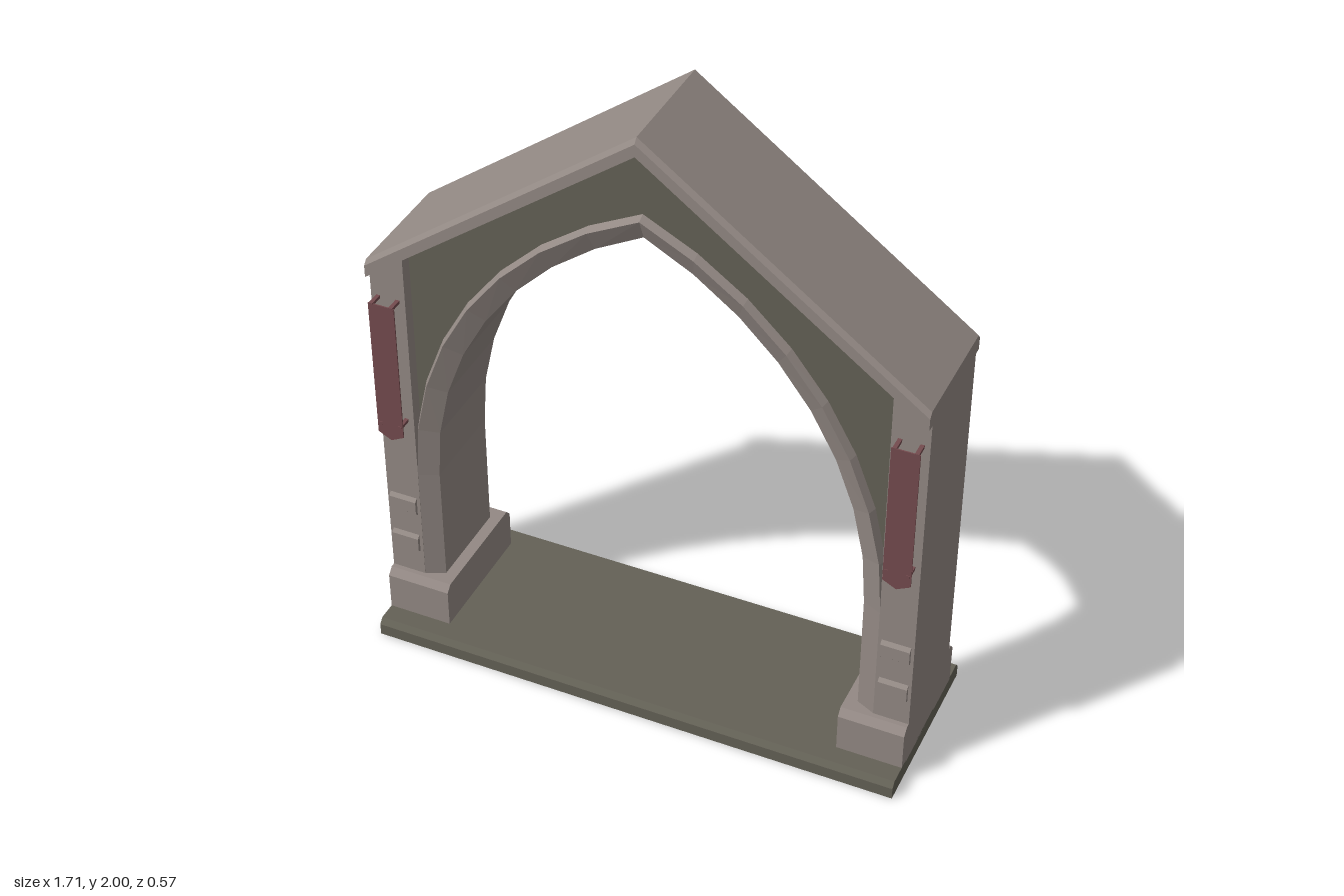
import * as THREE from 'three';

const stone = new THREE.MeshStandardMaterial({ color: 0x938984 });
stone.name = 'warm grey stone';
const darkStone = new THREE.MeshStandardMaterial({ color: 0x646156 });
darkStone.name = 'dark olive stone';
const cloth = new THREE.MeshStandardMaterial({ color: 0x744b4e });
cloth.name = 'dull red cloth';

const HALF = 0.855;          // half width
const SPRING = 0.6;          // height where the arch begins
const CX = 0.478;            // arc centre offset
const R = 1.163;             // inner arc radius
const roofUnder = (x) => 1.945 - 0.737 * Math.abs(x);

// Joins equal convex cross-sections into a capped, flat-faced solid.
function sweep(sections) {
  const n = sections[0].length, pos = [];
  const tri = (a, b, c) => pos.push(...a, ...b, ...c);
  for (let i = 0; i < sections.length - 1; i++) {
    const a = sections[i], b = sections[i + 1];
    for (let j = 0; j < n; j++) {
      const k = (j + 1) % n;
      tri(a[j], a[k], b[k]);
      tri(a[j], b[k], b[j]);
    }
  }
  const first = sections[0], last = sections[sections.length - 1];
  for (let j = 1; j < n - 1; j++) {
    tri(first[0], first[j + 1], first[j]);
    tri(last[0], last[j], last[j + 1]);
  }
  // turn the faces outward if the solid came out inside out
  let volume = 0;
  const a = new THREE.Vector3(), b = new THREE.Vector3(), c = new THREE.Vector3();
  for (let i = 0; i < pos.length; i += 9) {
    volume += a.fromArray(pos, i).dot(b.fromArray(pos, i + 3).cross(c.fromArray(pos, i + 6)));
  }
  if (volume < 0) {
    for (let i = 0; i < pos.length; i += 9) {
      for (let k = 0; k < 3; k++) [pos[i + 3 + k], pos[i + 6 + k]] = [pos[i + 6 + k], pos[i + 3 + k]];
    }
  }
  const g = new THREE.BufferGeometry();
  g.setAttribute('position', new THREE.Float32BufferAttribute(pos, 3));
  g.computeVertexNormals();
  return g;
}

// Block along x with chamfered long edges on top, and below if wanted.
function chamferBlock(x0, x1, y0, y1, z, cy, cz, below) {
  const half = below ? [[y0, z - cz], [y0 + cy, z]] : [[y0, z]];
  half.push([y1 - cy, z], [y1, z - cz]);
  const ring = [...half, ...half.map(([y, w]) => [y, -w]).reverse()];
  return sweep([x0, x1].map((x) => ring.map(([y, w]) => [x, y, w])));
}

// Point on the right half of an arc of radius r, t from spring (0) to apex (1).
function arcPoint(r, t) {
  const angle = t * Math.acos(CX / r);
  return [r * Math.cos(angle) - CX, SPRING + r * Math.sin(angle)];
}

export function createModel() {
  const model = new THREE.Group();
  const add = (name, geometry, material, parent = model) => {
    const mesh = new THREE.Mesh(geometry, material);
    mesh.name = name;
    parent.add(mesh);
    return mesh;
  };

  // Floor slab
  add('floorSlab', chamferBlock(-HALF, HALF, 0, 0.057, 0.285, 0.018, 0.015, false), darkStone);

  // Arch and its jambs: chamfered face with a narrow outer lip
  const STEPS = 8;
  const archSection = (t, y) => {
    const edge = [[R + 0.073, 0.15], [R + 0.06, 0.175], [R, 0.147]];
    const half = edge.map(([r, z]) => {
      const p = arcPoint(r, t);
      return [p[0], y ?? p[1], z];
    });
    return [...half, ...half.map(([x, py, z]) => [x, py, -z]).reverse()];
  };
  const right = [archSection(0, 0.05)];
  for (let i = 0; i <= STEPS; i++) right.push(archSection(i / STEPS));
  const left = right.slice(0, -1).reverse().map((s) => s.map(([x, y, z]) => [-x, y, z]));
  add('archRing', sweep([...right, ...left]), stone);

  // Recessed panel between arch and roof
  const arc = [];
  for (let i = 0; i <= STEPS; i++) arc.push(arcPoint(R + 0.03, i / STEPS));
  const outline = [
    [0, 1.96], [-0.76, roofUnder(0.76) + 0.015], [-0.76, SPRING],
    ...arc.map(([x, y]) => [-x, y]), ...arc.slice(0, -1).reverse(),
    [0.76, SPRING], [0.76, roofUnder(0.76) + 0.015],
  ];
  const panelShape = new THREE.Shape(outline.map(([x, y]) => new THREE.Vector2(x, y)));
  const panel = new THREE.ExtrudeGeometry(panelShape, { depth: 0.304, bevelEnabled: false });
  add('recessedPanel', panel.translate(0, 0, -0.152), darkStone);

  // Roof with chamfered upper edges
  const roofRing = [[0, 0.187], [-0.016, 0.2], [-0.055, 0.2], [-0.055, -0.2], [-0.016, -0.2], [0, -0.187]];
  add('gableRoof', sweep([-HALF, 0, HALF].map((x) =>
    roofRing.map(([dy, z]) => [x, roofUnder(x) + 0.055 + dy, z]))), stone);

  for (const side of [1, -1]) {
    const tag = side > 0 ? 'left' : 'right';

    // Pillar, sloped on top to meet the roof
    const plan = [[HALF, 0.175], [0.744, 0.175], [0.734, 0.15], [0.734, -0.15], [0.744, -0.175], [HALF, -0.175]];
    add(tag + 'Pillar', sweep([
      plan.map(([x, z]) => [side * x, 0.05, z]),
      plan.map(([x, z]) => [side * x, roofUnder(x) + 0.005, z]),
    ]), stone);

    // Plinth
    add(tag + 'Plinth', chamferBlock(side * 0.648, side * HALF, 0.05, 0.205, 0.21, 0.022, 0.02, false), stone);

    // Raised bricks, running through to both faces
    for (const y of [0.29, 0.437]) {
      add(tag + 'RaisedBrick', chamferBlock(side * 0.755, side * 0.845, y, y + 0.068, 0.186, 0.012, 0.012, true), stone);
    }

    // Hanging banner with pegs, front only
    const banner = new THREE.Group();
    banner.name = tag + 'Banner';
    banner.position.set(side * 0.8, 0, 0.214);
    model.add(banner);
    const flag = new THREE.Shape([[-0.042, 1.24], [-0.042, 0.77], [0, 0.748], [0.042, 0.77], [0.042, 1.24]]
      .map(([x, y]) => new THREE.Vector2(x, y)));
    add('bannerCloth', new THREE.ExtrudeGeometry(flag, { depth: 0.004, bevelEnabled: false }), cloth, banner);
    for (const y of [1.238, 0.805]) {
      for (const x of [-0.032, 0.032]) {
        add('bannerPeg', new THREE.BoxGeometry(0.012, 0.01, 0.048), cloth, banner).position.set(x, y, -0.018);
      }
    }
  }
  return model;
}
